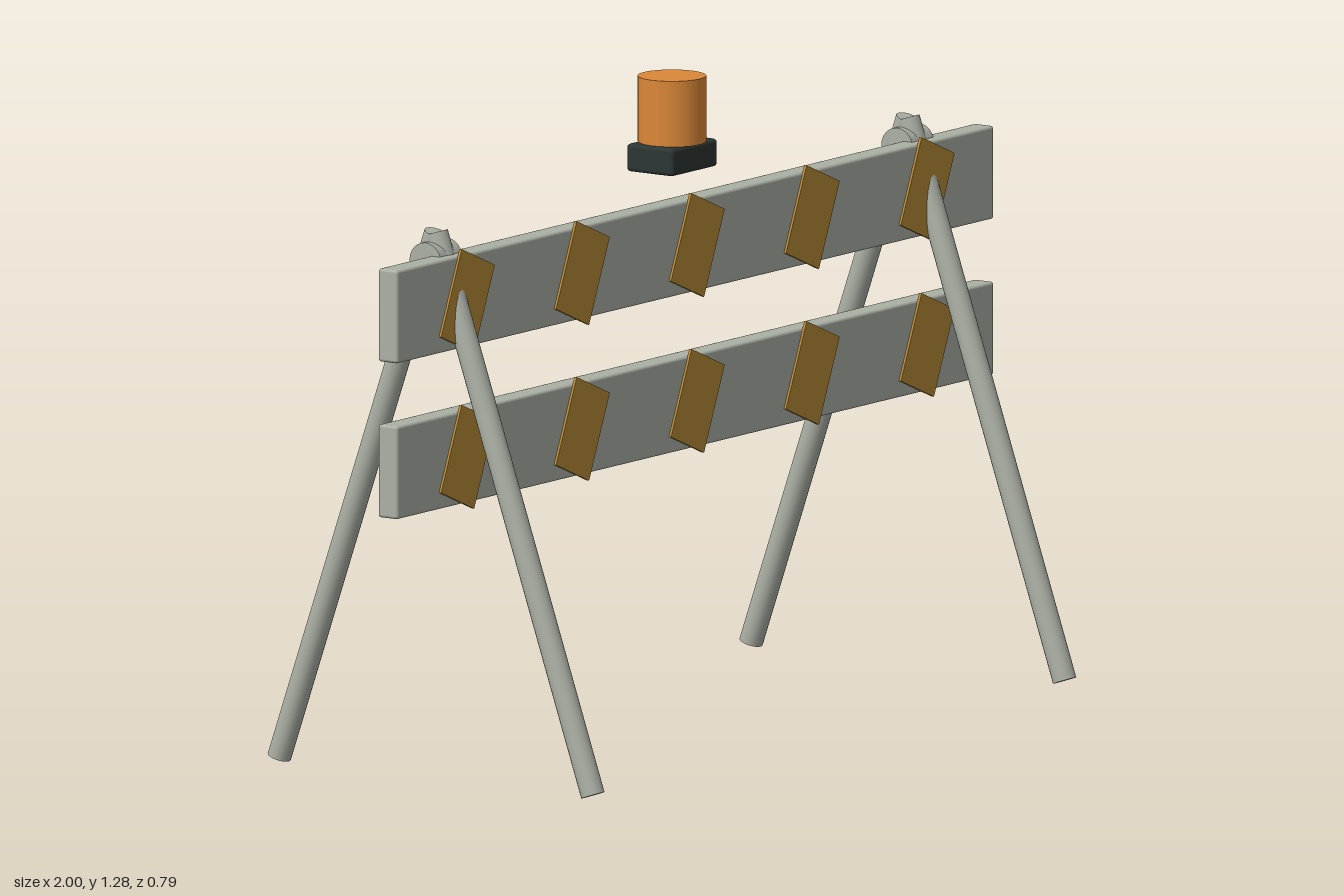
import * as THREE from 'three';
import { RoundedBoxGeometry } from 'three/addons/geometries/RoundedBoxGeometry.js';

export function createModel() {
  const model = new THREE.Group();
  model.name = 'roadBarrier';

  const material = (name, color) => {
    const m = new THREE.MeshStandardMaterial({ color });
    m.name = name;
    return m;
  };
  const grey = material('paleGrey', 0xabb0a5);
  const amber = material('amberStripe', 0xb88a38);
  const orange = material('orangeLens', 0xdc8838);
  const dark = material('darkHousing', 0x2c3634);

  const add = (name, geometry, mat, x, y, z) => {
    const mesh = new THREE.Mesh(geometry, mat);
    mesh.name = name;
    mesh.position.set(x, y, z);
    model.add(mesh);
    return mesh;
  };

  // Two planks, each with five slanted reflective plates
  const plank = new RoundedBoxGeometry(2, 0.184, 0.047, 2, 0.006);
  const stripe = new THREE.BoxGeometry(0.12, 0.178, 0.006);
  for (const [label, y] of [['upper', 0.95], ['lower', 0.642]]) {
    add(label + 'Plank', plank, grey, 0, y, 0.0335);
    for (let i = -2; i <= 2; i++) {
      add(label + 'Stripe', stripe, amber, i * 0.385, y, 0.059).rotation.z = -0.4;
    }
  }

  // A-frame legs crossing at a round hinge on each side
  const foot = new THREE.Vector2(0.375, 0.008);
  const apex = new THREE.Vector2(0, 1.082);
  const leg = new THREE.CylinderGeometry(0.0235, 0.0235, foot.distanceTo(apex), 20);
  const tilt = Math.atan2(foot.x - apex.x, apex.y - foot.y);
  const hinge = new THREE.CylinderGeometry(0.038, 0.038, 0.072, 24);
  for (const side of [-1, 1]) {
    const x = side * 0.79;
    for (const face of [-1, 1]) {
      const name = face > 0 ? 'frontLeg' : 'backLeg';
      add(name, leg, grey, x, (foot.y + apex.y) / 2, face * foot.x / 2).rotation.x = -face * tilt;
    }
    add('hinge', hinge, grey, x, 1.029, 0).rotation.z = Math.PI / 2;
  }

  // Warning lamp
  add('lampBase', new RoundedBoxGeometry(0.154, 0.055, 0.112, 2, 0.008), dark, 0, 1.122, 0);
  add('lampLens', new THREE.CylinderGeometry(0.067, 0.067, 0.13, 32), orange, 0, 1.214, 0);

  return model;
}
